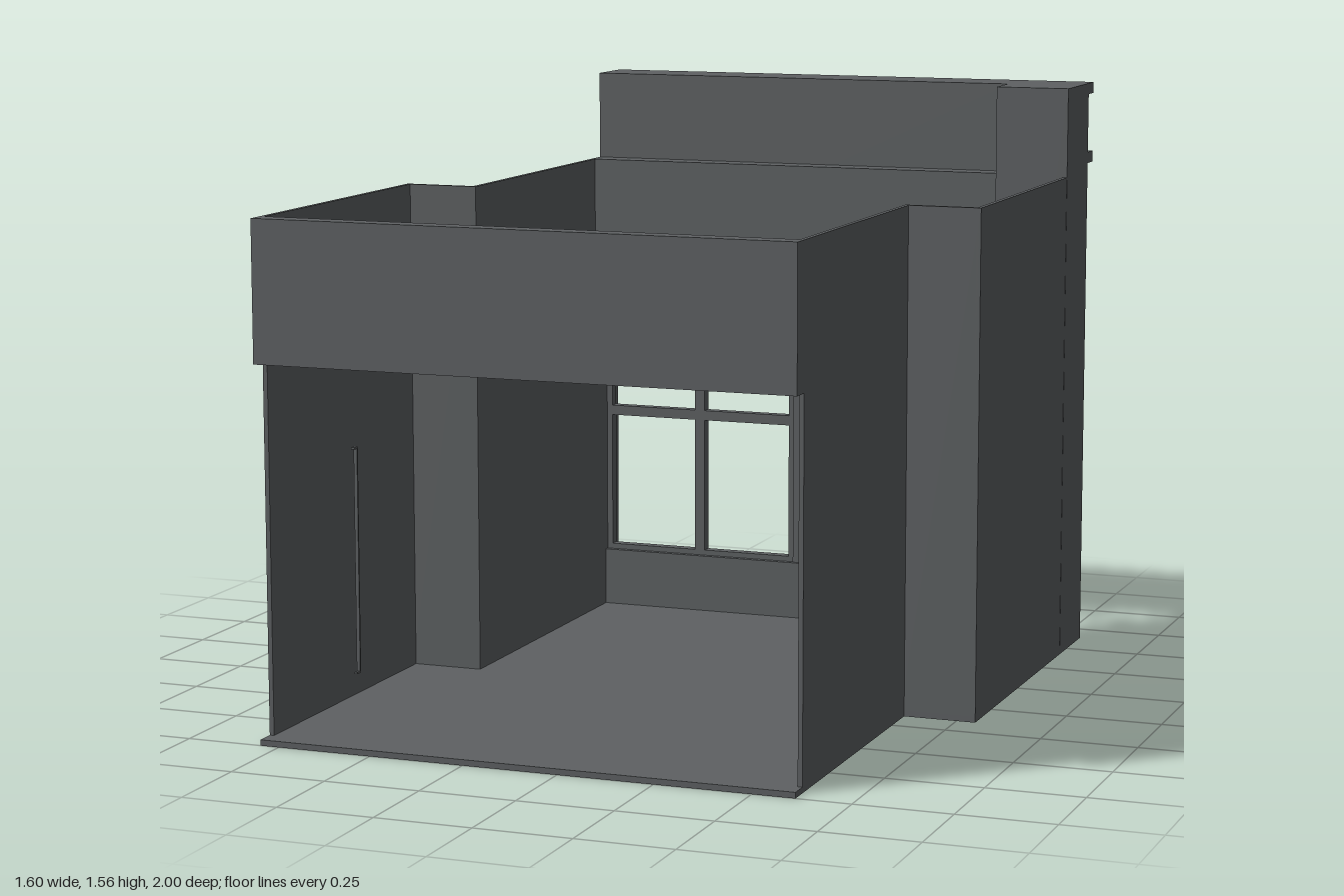
import * as THREE from 'three';

export function createModel() {
  const model = new THREE.Group();
  model.name = 'shopBuilding';
  const grey = new THREE.MeshStandardMaterial({ color: 0x5e6163 });
  grey.name = 'slateGrey';

  // Box given by its lower and upper limits on each axis
  const box = (name, x0, x1, y0, y1, z0, z1, parent = model) => {
    const mesh = new THREE.Mesh(new THREE.BoxGeometry(x1 - x0, y1 - y0, z1 - z0), grey);
    mesh.name = name;
    mesh.position.set((x0 + x1) / 2, (y0 + y1) / 2, (z0 + z1) / 2);
    parent.add(mesh);
    return mesh;
  };

  // Floor slab following the stepped footprint, as [x, z] corners
  const outline = [
    [-0.8, 1], [0.61, 1], [0.61, 0.15], [0.8, 0.15], [0.8, -0.89], [0.6, -0.89],
    [0.6, -0.85], [-0.6, -0.85], [-0.6, -0.89], [-0.61, -0.89], [-0.61, 0.1], [-0.8, 0.1],
  ];
  const shape = new THREE.Shape(outline.map(([x, z]) => new THREE.Vector2(x, -z)));
  const floorGeometry = new THREE.ExtrudeGeometry(shape, { depth: 0.015, bevelEnabled: false });
  floorGeometry.rotateX(-Math.PI / 2);
  const floor = new THREE.Mesh(floorGeometry, grey);
  floor.name = 'floor';
  model.add(floor);

  // Thin side walls with their jogs
  const top = 1.32, t = 0.012;
  box('rightFrontWall', -0.8, -0.8 + t, 0, top, 0.1, 0.95);
  box('rightJogWall', -0.8, -0.61 + t, 0, top, 0.1, 0.1 + t);
  box('rightRearWall', -0.61, -0.61 + t, 0, top, -0.89, 0.1 + t);
  box('leftFrontWall', 0.61 - t, 0.61, 0, top, 0.15 - t, 0.95);
  box('leftJogWall', 0.61 - t, 0.8, 0, top, 0.15 - t, 0.15);
  box('leftRearWall', 0.8 - t, 0.8, 0, top, -0.67, 0.15);

  // Beam over the open front
  box('frontBeam', -0.8, 0.61, 0.96, top, 0.95, 1);

  // Rear facade: corner pier, parapet, header, low wall and centre post
  box('cornerPier', 0.6, 0.8, 0, 1.56, -0.89, -0.673);
  box('parapetWall', -0.61, 0.6, 0.99, 1.56, -0.89, -0.787);
  box('rearHeader', -0.6, 0.6, 0.96, top, -0.85, -0.72);
  box('rearLowWall', -0.6, 0.6, 0, 0.175, -0.85, -0.79);
  box('centrePost', -0.025, 0.023, 0, 1.08, -1, -0.8);
  for (const [y0, y1] of [[1.34, 1.37], [1.53, 1.56]]) {
    box('corniceBand', -0.61, 0.8, y0, y1, -0.94, -0.88);
  }

  // Two windows with four panes each
  for (const side of [-1, 1]) {
    const frame = new THREE.Group();
    frame.name = side < 0 ? 'rightWindowFrame' : 'leftWindowFrame';
    const cx = side * 0.311, w = 0.287, z0 = -0.835, z1 = -0.805;
    box('windowSill', cx - w, cx + w, 0.175, 0.19, z0, z1, frame);
    box('windowHead', cx - w, cx + w, 0.945, 0.96, z0, z1, frame);
    box('windowStile', cx - w, cx - w + 0.016, 0.19, 0.945, z0, z1, frame);
    box('windowStile', cx + w - 0.016, cx + w, 0.19, 0.945, z0, z1, frame);
    box('mullion', cx - 0.015, cx + 0.015, 0.19, 0.945, z0, z1, frame);
    box('transom', cx - w + 0.016, cx + w - 0.016, 0.57, 0.598, z0, z1, frame);
    model.add(frame);
  }

  // Slim pull handle in the open front
  const handle = new THREE.Group();
  handle.name = 'pullHandle';
  box('handleBar', -0.538, -0.529, 0.205, 0.77, 0.981, 0.986, handle);
  for (const y of [0.205, 0.765]) box('handleEnd', -0.538, -0.529, y, y + 0.005, 0.986, 1, handle);
  model.add(handle);

  return model;
}
